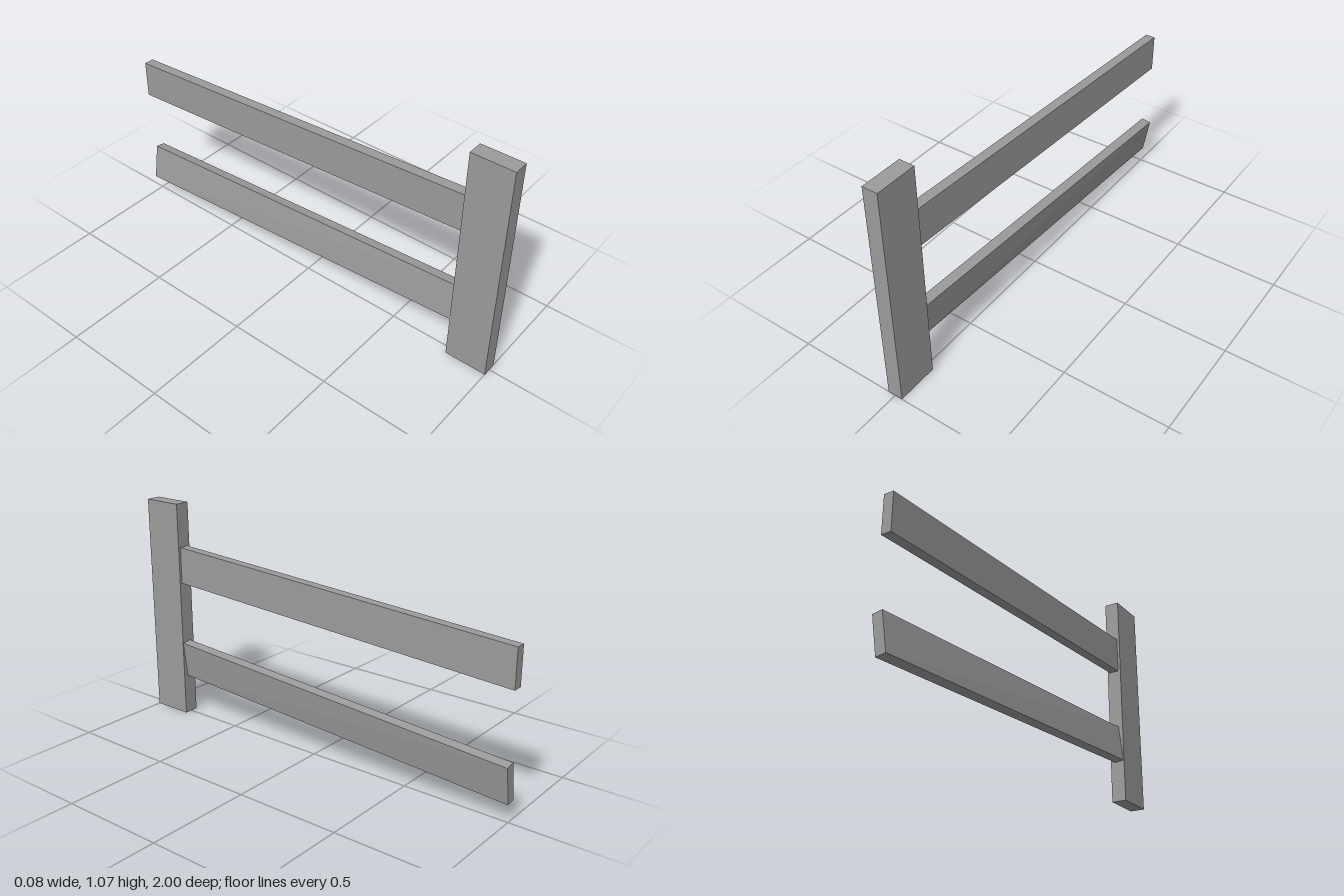
import * as THREE from 'three';

const POST_BACK = 0.803;
const RAIL_HALF_WIDTH = 0.0235;
const RAIL_HEIGHT = 0.178;

const material = new THREE.MeshStandardMaterial({ color: 0x9b9b9b, flatShading: true });

// Sloping rail with plumb ends; the cross-section leans towards +x by the given angles.
function makeRail(name, frontY, backY, frontLean = 0, backLean = 0) {
  const geometry = new THREE.BoxGeometry(RAIL_HALF_WIDTH * 2, RAIL_HEIGHT, 1);
  const pos = geometry.attributes.position;
  for (let i = 0; i < pos.count; i++) {
    const x = pos.getX(i), y = pos.getY(i), t = pos.getZ(i) + 0.5;
    const lean = THREE.MathUtils.lerp(backLean, frontLean, t);
    const c = Math.cos(lean), s = Math.sin(lean);
    pos.setXYZ(
      i,
      x * c + y * s,
      y * c - x * s + THREE.MathUtils.lerp(backY, frontY, t),
      THREE.MathUtils.lerp(-1, POST_BACK, t)
    );
  }
  geometry.computeVertexNormals();
  const rail = new THREE.Mesh(geometry, material);
  rail.name = name;
  return rail;
}

export function createModel() {
  const group = new THREE.Group();
  group.name = 'fenceSection';

  // Upright post at the front end
  const depth = 1 - POST_BACK;
  const post = new THREE.Mesh(new THREE.BoxGeometry(0.072, 1.07, depth), material);
  post.position.set(0, 0.535, 1 - depth / 2);
  post.name = 'post';
  group.add(post);

  // Straight upper rail and slightly twisted lower rail
  group.add(makeRail('upperRail', 0.769, 0.672));
  group.add(makeRail('lowerRail', 0.288, 0.174, 0.12, 0.165));

  return group;
}
